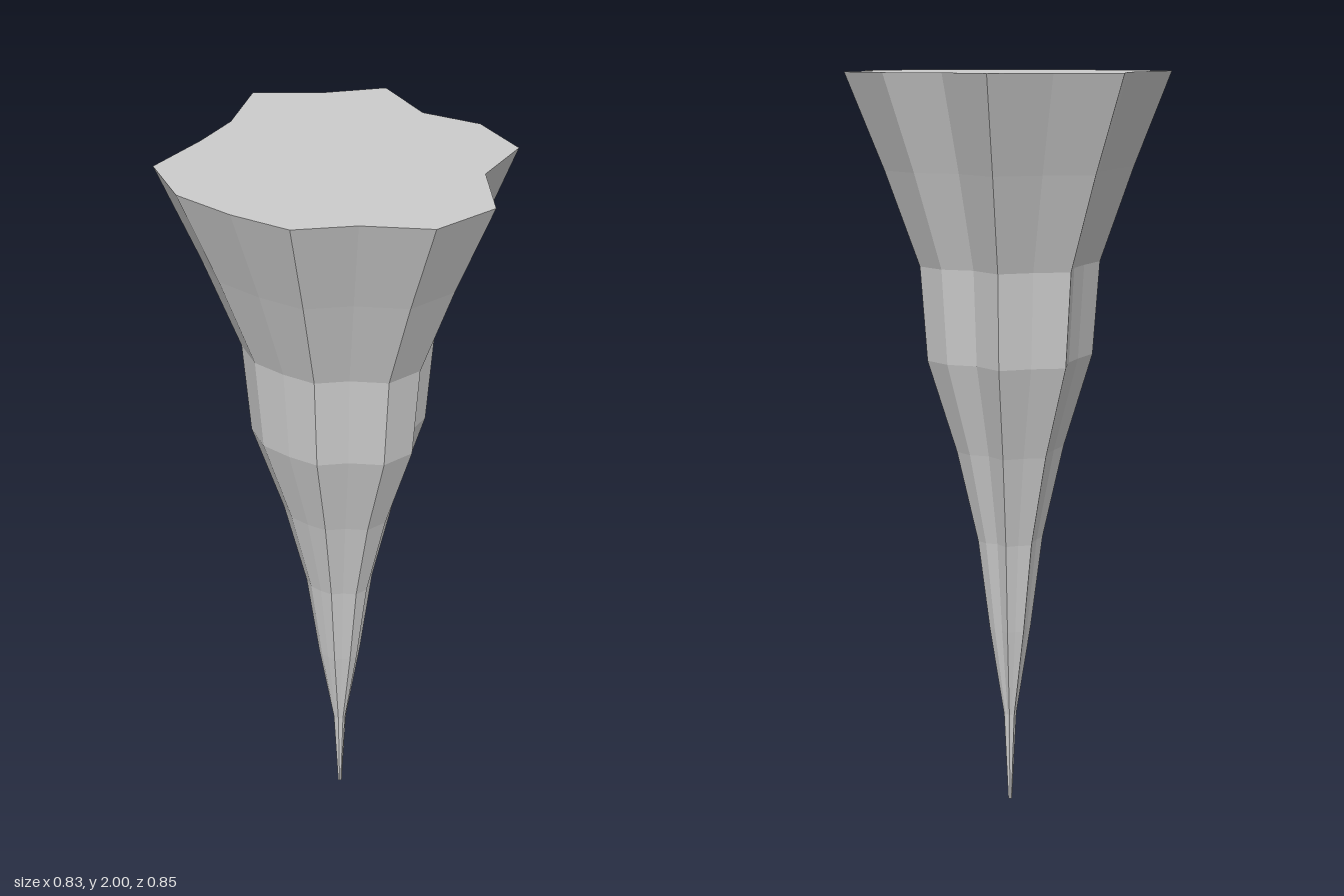
import * as THREE from 'three';

// Distance of each of the 16 ridges and grooves from the axis, from +z towards +x
const spokes = [0.405, 0.372, 0.444, 0.454, 0.357, 0.437, 0.4, 0.338,
  0.442, 0.396, 0.452, 0.342, 0.35, 0.444, 0.43, 0.398];
// Scale of the cross-section at each level, from the tip to the top
const levels = [0.012, 0.04, 0.132, 0.206, 0.338, 0.518, 0.56, 0.768, 1];
const axis = { x: -0.004, z: 0.017 };

export function createModel() {
  const group = new THREE.Group();
  group.name = 'stalactite';

  // Closed cylinder reshaped into a fluted, tapering spike
  const sides = spokes.length;
  const rows = levels.length - 1;
  const geometry = new THREE.CylinderGeometry(1, 1, 2, sides, rows);
  geometry.translate(0, 1, 0);
  const pos = geometry.attributes.position;
  for (let i = 0; i < pos.count; i++) {
    const x = pos.getX(i), y = pos.getY(i), z = pos.getZ(i);
    const spoke = Math.round(Math.atan2(x, z) / (2 * Math.PI) * sides);
    const level = Math.round(y / 2 * rows);
    const r = spokes[(spoke + sides) % sides] * levels[level];
    pos.setXYZ(i, axis.x + x * r, y, axis.z + z * r);
  }
  geometry.computeVertexNormals();

  const spike = new THREE.Mesh(geometry,
    new THREE.MeshStandardMaterial({ color: 0xcccccc, flatShading: true }));
  spike.name = 'spike';
  group.add(spike);
  return group;
}
